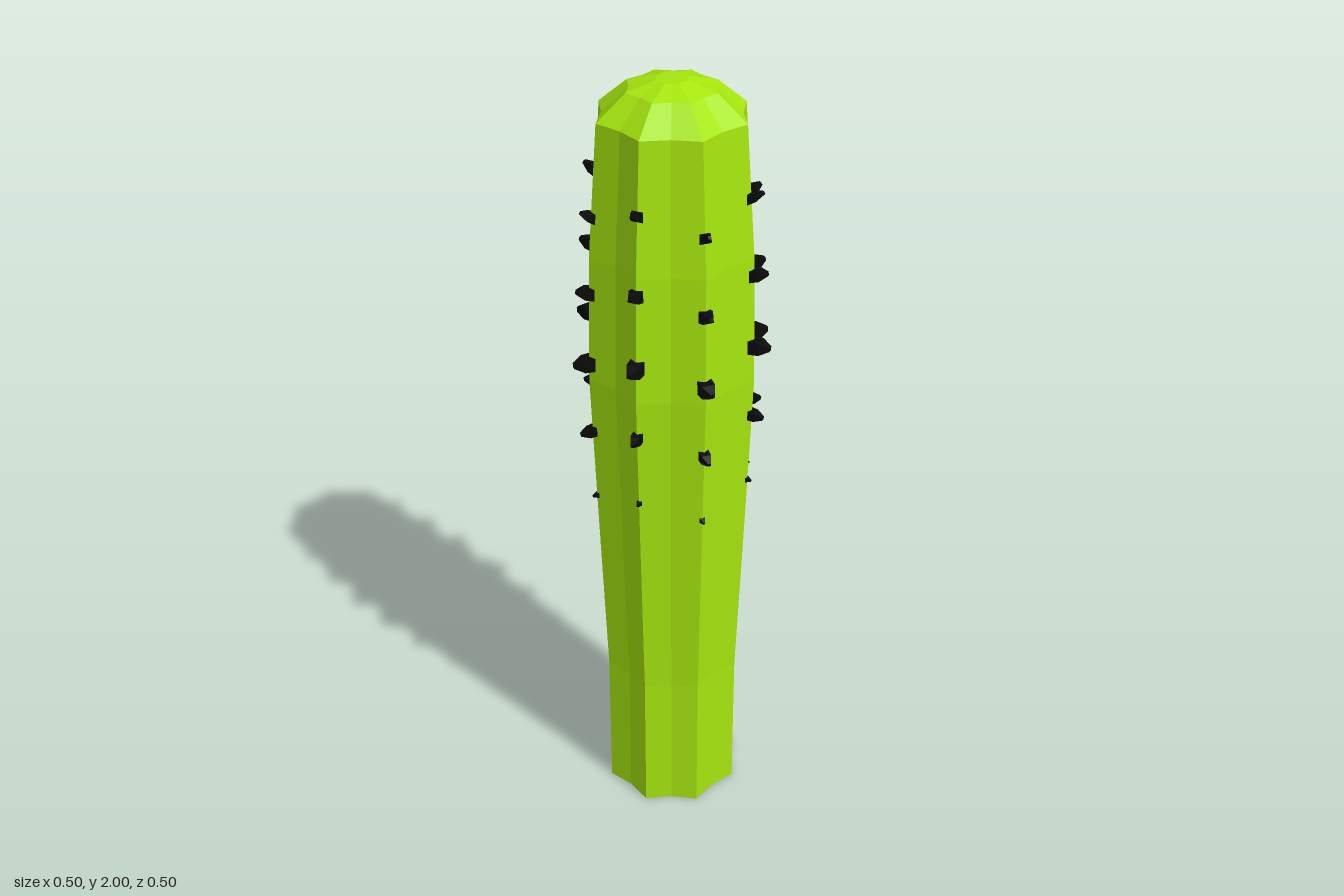
import * as THREE from 'three';

const green = new THREE.MeshStandardMaterial({ color: 0xa6e60e, flatShading: true });
const black = new THREE.MeshStandardMaterial({ color: 0x0a0a0a, flatShading: true });

// [radius at the ridges, height]
const PROFILE = [
  [0, 0], [0.18, 0], [0.18, 0.4], [0.195, 0.8], [0.212, 1.28], [0.204, 1.6],
  [0.18, 1.92], [0.11, 1.98], [0.04, 2], [0, 2],
];
const RIDGES = 8;
const VALLEY = 0.875;

// Ridge radius at height y on the trunk
function radiusAt(y) {
  for (let i = 2; i < PROFILE.length; i++) {
    const [r0, y0] = PROFILE[i - 1], [r1, y1] = PROFILE[i];
    if (y <= y1) return r0 + (r1 - r0) * (y - y0) / (y1 - y0);
  }
  return 0;
}

function flat(geometry) {
  const g = geometry.toNonIndexed();
  g.computeVertexNormals();
  return g;
}

// Lathe whose every other column is pulled inward to make the ribs
function ribbedTrunk() {
  const points = PROFILE.map(([r, y]) => new THREE.Vector2(r, y));
  const g = new THREE.LatheGeometry(points, RIDGES * 2);
  const p = g.attributes.position;
  for (let i = 0; i < p.count; i++) {
    const column = Math.floor(i / points.length);
    if (column % 2) p.setXYZ(i, p.getX(i) * VALLEY, p.getY(i), p.getZ(i) * VALLEY);
  }
  return flat(g);
}

// Four-sided blunt thorn of unit length, pointing along +z
function thornShape() {
  const points = [[0, 0], [0.4, 0], [0.36, 0.6], [0.12, 1], [0, 1]]
    .map(([r, y]) => new THREE.Vector2(r, y));
  const g = new THREE.LatheGeometry(points, 4, Math.PI / 4);
  g.rotateX(Math.PI / 2);
  return flat(g);
}

export function createModel() {
  const model = new THREE.Group();
  model.name = 'cactus';

  const trunk = new THREE.Mesh(ribbedTrunk(), green);
  trunk.name = 'trunk';
  model.add(trunk);

  // Thorn rows: height, tip radius, half width, upward tilt
  const rows = [
    [1.75, 0.222, 0.012, 0.5],
    [1.56, 0.238, 0.015, 0.25],
    [1.375, 0.25, 0.018, 0],
    [1.185, 0.238, 0.013, -0.15],
    [0.995, 0.212, 0.007, -0.15],
  ];
  const shape = thornShape();
  const thorns = new THREE.Group();
  thorns.name = 'thorns';
  for (let k = 0; k < RIDGES; k++) {
    const ridge = new THREE.Group();
    ridge.name = 'thornRow';
    ridge.rotation.y = k * Math.PI * 2 / RIDGES;
    for (const [height, tip, half, tilt] of rows) {
      const y = height - (k % 2) * 0.05; // diagonal ridges sit a little lower
      const base = radiusAt(y) - 0.02;
      const thorn = new THREE.Mesh(shape, black);
      thorn.name = 'thorn';
      thorn.position.set(0, y - Math.tan(tilt) * 0.02, base);
      thorn.rotation.x = -tilt;
      thorn.scale.set(half / 0.283, half / 0.283, (tip - base) / Math.cos(tilt));
      ridge.add(thorn);
    }
    thorns.add(ridge);
  }
  model.add(thorns);
  return model;
}
